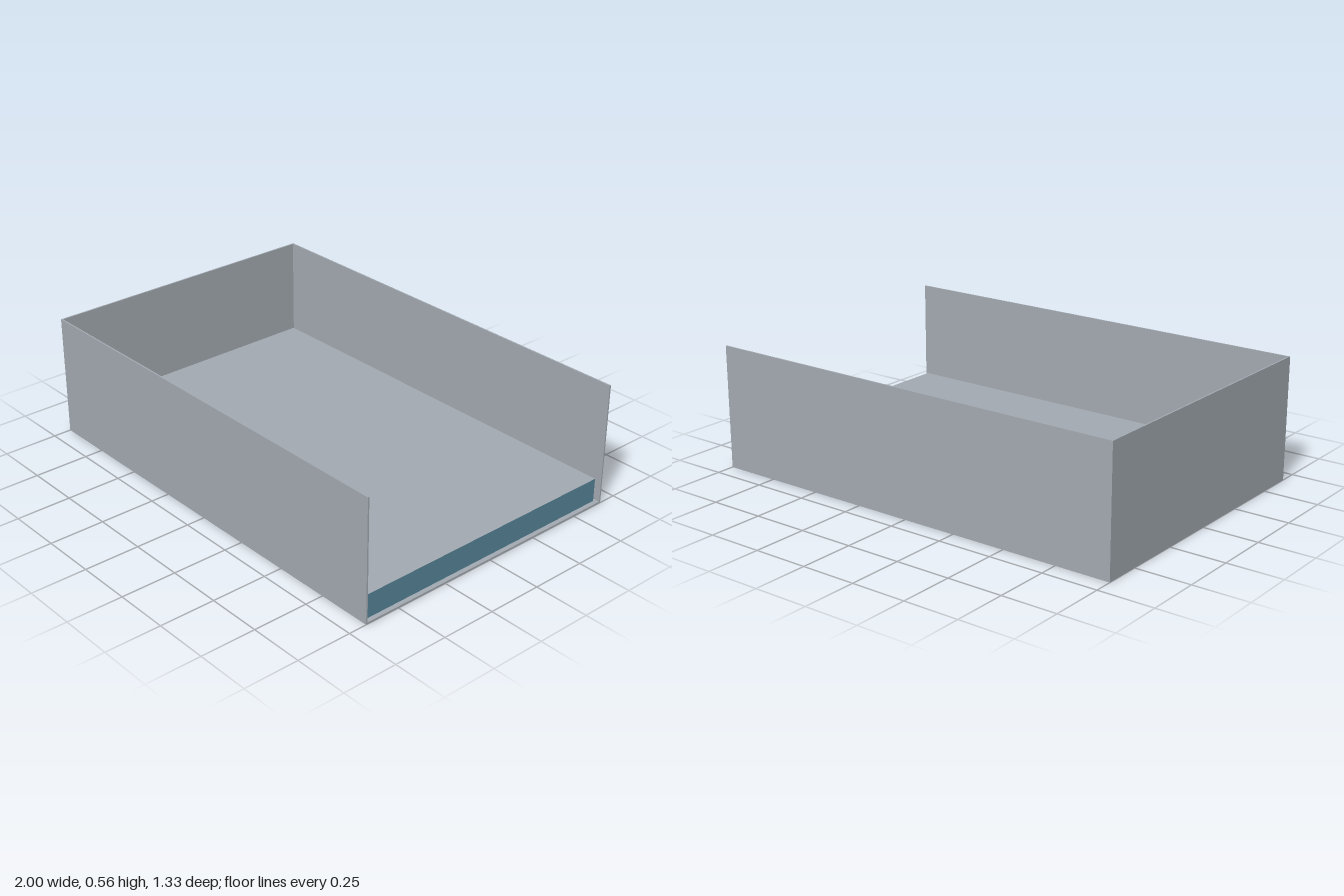
import * as THREE from 'three';

export function createModel() {
  const model = new THREE.Group();
  model.name = 'openTray';

  const grey = new THREE.MeshStandardMaterial({ color: 0xa2a9b0 });
  grey.name = 'grey metal';
  const blue = new THREE.MeshStandardMaterial({ color: 0x56859a });
  blue.name = 'slate blue';

  const L = 2, W = 1.333, H = 0.556; // outer size
  const T = 0.007;                   // sheet thickness
  const GAP = 0.021;                 // slab inset from the outer edge

  const addBox = (name, size, pos, material) => {
    const mesh = new THREE.Mesh(new THREE.BoxGeometry(...size), material);
    mesh.name = name;
    mesh.position.set(...pos);
    model.add(mesh);
  };

  // Thin sheet tray, open at the +x end
  addBox('basePlate', [L, T, W], [0, T / 2, 0], grey);
  for (const [name, s] of [['frontWall', 1], ['backWall', -1]]) {
    addBox(name, [L, H - T, T], [0, (H + T) / 2, s * (W - T) / 2], grey);
  }
  addBox('endWall', [T, H - T, W - 2 * T], [-(L - T) / 2, (H + T) / 2, 0], grey);

  // Raised slab inside: blue edges, grey top
  const slabH = 0.108;
  addBox('floorSlab', [L - 2 * GAP, slabH, W - 2 * GAP], [0, T + slabH / 2, 0],
    [blue, blue, grey, grey, blue, blue]);

  return model;
}
